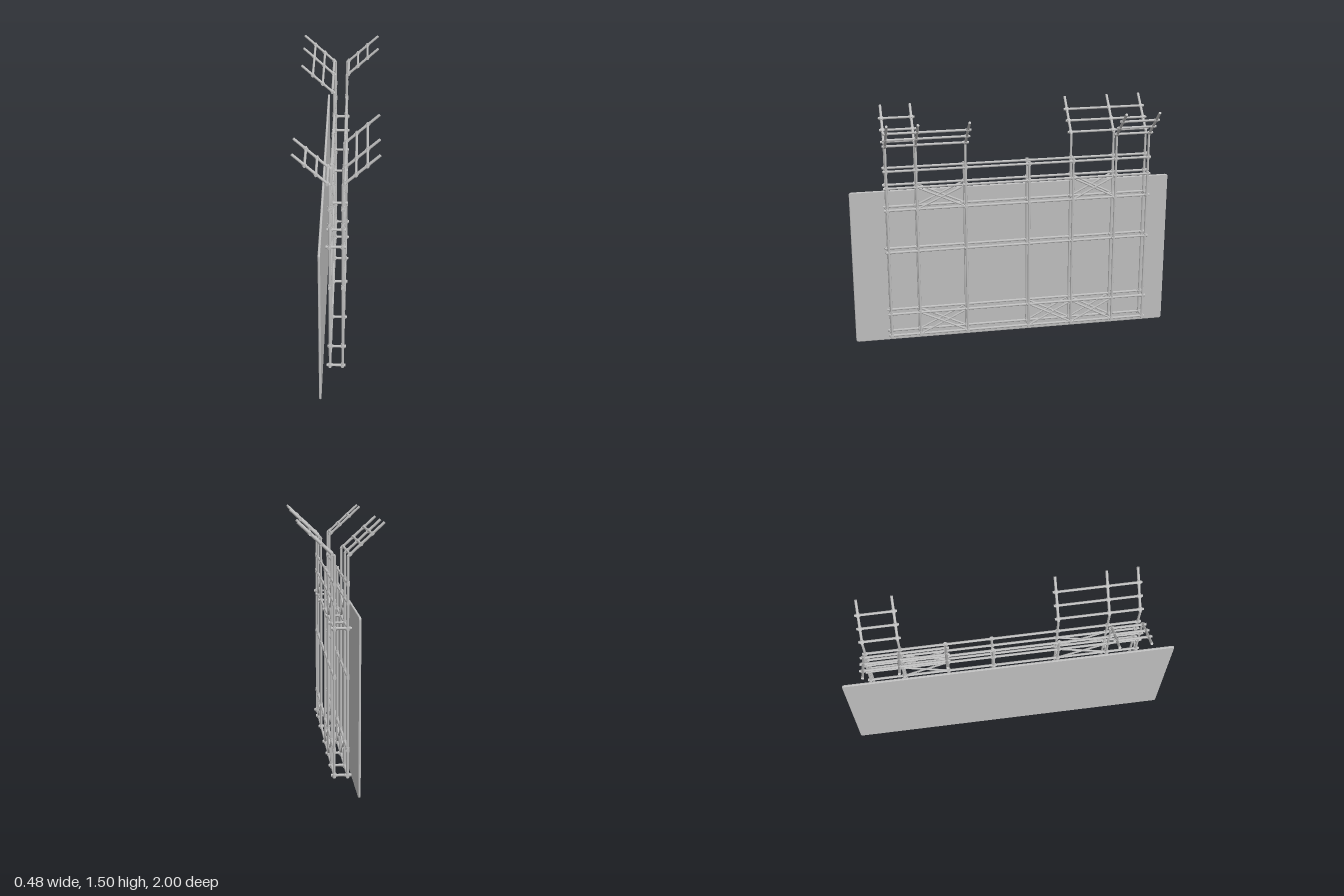
import * as THREE from 'three';

const steel = new THREE.MeshStandardMaterial({ color: 0xbfbfbf });
steel.name = 'grey steel';

const V = (x, y, z) => new THREE.Vector3(x, y, z);
const UP = V(0, 1, 0);

// Round bar between two points
function bar(parent, name, a, b, r = 0.0075) {
  const dir = b.clone().sub(a);
  const mesh = new THREE.Mesh(new THREE.CylinderGeometry(r, r, dir.length(), 10), steel);
  mesh.position.copy(a).add(b).multiplyScalar(0.5);
  mesh.quaternion.setFromUnitVectors(UP, dir.normalize());
  mesh.name = name;
  parent.add(mesh);
}

// Short collar around a bar, centred on p and running along dir
function collar(parent, p, dir, half = 0.014, r = 0.01) {
  const d = dir.clone().normalize().multiplyScalar(half);
  bar(parent, 'jointCollar', p.clone().sub(d), p.clone().add(d), r);
}

const SIDE = 0.037;
const POLES = [0.78, 0.6, 0.303, -0.086, -0.36, -0.627, -0.83];
const RAILS = [0.085, 0.23, 0.642, 0.914, 1.053, 1.16];
const TIES = [0.085, 0.914];
const BEND = 1.31;

// Poles that carry a slanted arm, grouped by side
const ARMS = {
  '1': [[0.78, 0.6, 0.303], [-0.627, -0.83]],
  '-1': [[0.78, 0.6], [-0.36, -0.627, -0.83]],
};

// Braced bays: [z start, z end, y low, y high]
const BAYS = [
  [0.6, 0.303, 0.914, 1.053], [-0.36, -0.627, 0.914, 1.053],
  [0.6, 0.303, 0.085, 0.23], [-0.086, -0.36, 0.085, 0.23], [-0.36, -0.627, 0.085, 0.23],
];

function frameSide(s) {
  const side = new THREE.Group();
  side.name = s > 0 ? 'leftFrame' : 'rightFrame';
  const x = s * SIDE;
  const raised = ARMS[s].flat();

  // Upright poles with a collar at every rail
  for (const z of POLES) {
    bar(side, 'pole', V(x, 0.068, z), V(x, raised.includes(z) ? BEND : 1.175, z));
    for (const y of RAILS) {
      collar(side, V(x, y, z), UP);
      collar(side, V(x, y, z), V(0, 0, 1));
    }
  }

  // Long horizontal rails
  for (const y of RAILS) bar(side, 'rail', V(x, y, 0.8), V(x, y, -0.847));

  // Crossed braces
  for (const [z0, z1, y0, y1] of BAYS) {
    bar(side, 'brace', V(x, y0, z0), V(x, y1, z1), 0.006);
    bar(side, 'brace', V(x, y1, z0), V(x, y0, z1), 0.006);
  }

  // Slanted arms and the rails across them
  const slope = V(s * 0.199, 0.184, 0);
  for (const zs of ARMS[s]) {
    for (const z of zs) {
      bar(side, 'arm', V(x, BEND, z), V(x, BEND, z).add(slope), 0.008);
      const elbow = new THREE.Mesh(new THREE.SphereGeometry(0.008, 10, 8), steel);
      elbow.position.set(x, BEND, z);
      elbow.name = 'elbow';
      side.add(elbow);
    }
    for (const t of [0.055, 0.355, 0.66]) {
      const p = V(x, BEND, 0).addScaledVector(slope, t);
      bar(side, 'armRail', V(p.x, p.y, zs[0] + 0.02), V(p.x, p.y, zs[zs.length - 1] - 0.02));
      for (const z of zs) {
        collar(side, V(p.x, p.y, z), slope, 0.012);
        collar(side, V(p.x, p.y, z), V(0, 0, 1), 0.012);
      }
    }
  }
  return side;
}

// Thin board with rounded corners and bevelled edges
function board() {
  const bevel = 0.005, w = 1 - bevel, h0 = bevel, h1 = 1 - bevel, r = 0.012;
  const shape = new THREE.Shape();
  shape.moveTo(-w + r, h0);
  shape.lineTo(w - r, h0);
  shape.quadraticCurveTo(w, h0, w, h0 + r);
  shape.lineTo(w, h1 - r);
  shape.quadraticCurveTo(w, h1, w - r, h1);
  shape.lineTo(-w + r, h1);
  shape.quadraticCurveTo(-w, h1, -w, h1 - r);
  shape.lineTo(-w, h0 + r);
  shape.quadraticCurveTo(-w, h0, -w + r, h0);
  const geo = new THREE.ExtrudeGeometry(shape, {
    depth: 0.004, bevelEnabled: true, bevelThickness: bevel, bevelSize: bevel,
    bevelSegments: 2, curveSegments: 4,
  });
  geo.translate(0, 0, -0.002);
  geo.rotateY(Math.PI / 2);
  const mesh = new THREE.Mesh(geo, steel);
  mesh.position.x = -0.088;
  mesh.name = 'board';
  return mesh;
}

export function createModel() {
  const model = new THREE.Group();
  model.name = 'scaffoldBarrier';
  model.add(board(), frameSide(1), frameSide(-1));

  // Short ties joining the two frames
  const ties = new THREE.Group();
  ties.name = 'crossTies';
  for (const z of POLES) {
    for (const y of TIES) {
      bar(ties, 'tie', V(-0.058, y, z), V(0.055, y, z), 0.008);
      for (const s of [1, -1]) collar(ties, V(s * SIDE, y, z), V(1, 0, 0), 0.016);
    }
  }
  model.add(ties);
  return model;
}
